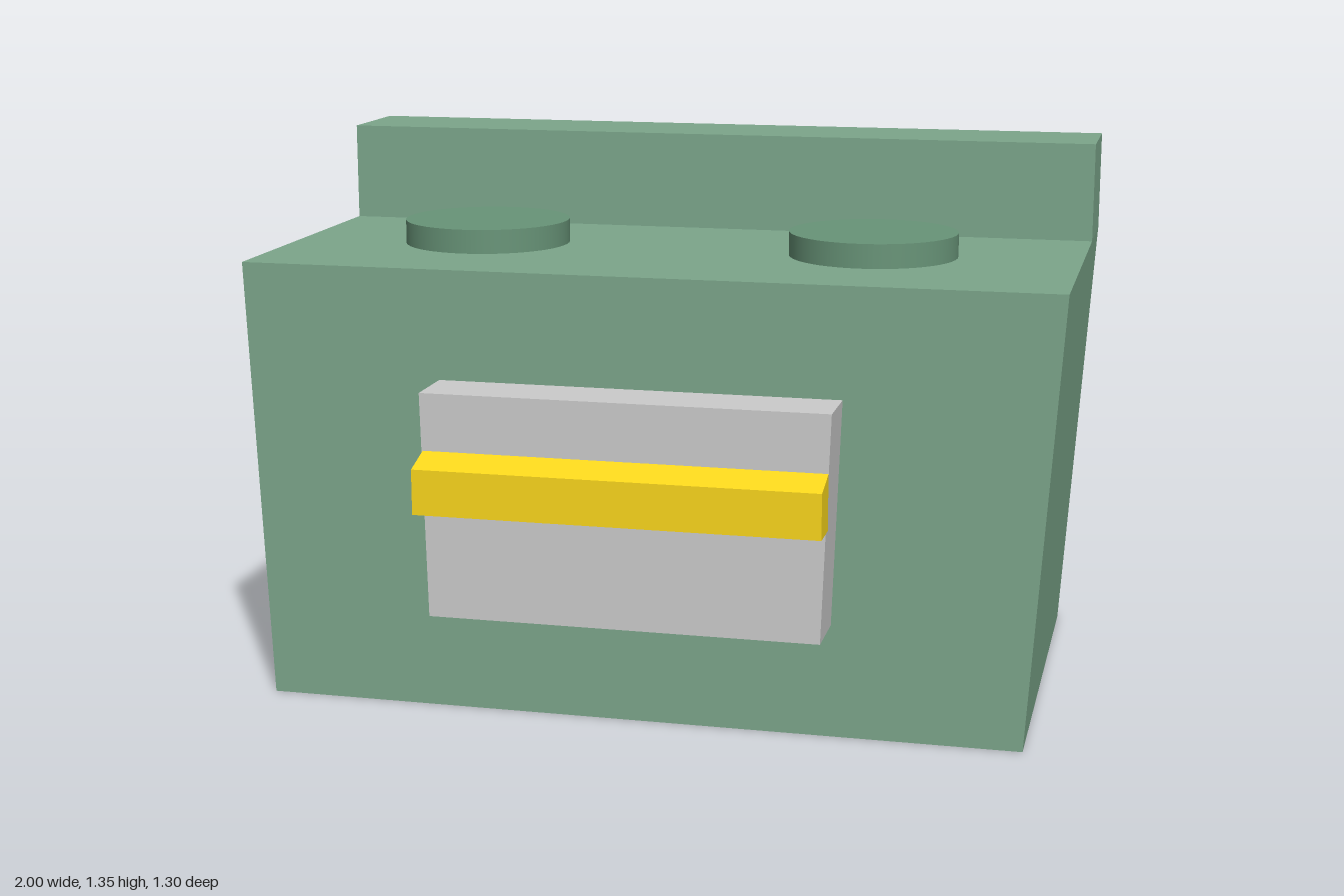
import * as THREE from 'three';

const material = (color) => new THREE.MeshStandardMaterial({ color, side: THREE.DoubleSide });

// Extrudes a front outline of [x, y] points between two depths
function slab(name, points, zBack, zFront, mat) {
  const shape = new THREE.Shape(points.map(([x, y]) => new THREE.Vector2(x, y)));
  const geometry = new THREE.ExtrudeGeometry(shape, { depth: zFront - zBack, bevelEnabled: false });
  geometry.translate(0, 0, zBack);
  const mesh = new THREE.Mesh(geometry, mat);
  mesh.name = name;
  return mesh;
}

export function createModel() {
  const group = new THREE.Group();
  group.name = 'stove';
  const green = material(0x7ca68b);
  const darkGreen = material(0x689478);
  const grey = material(0xcccccc);
  const yellow = material(0xfad71c);

  // Body narrows towards the floor, slightly more on one side
  group.add(slab('body', [[-0.955, 0], [0.93, 0], [1, 1.1], [-1, 1.1]], -0.65, 0.42, green));

  // Raised ledge along the back
  group.add(slab('backLedge', [[-1, 1.1], [1, 1.1], [1, 1.35], [-1, 1.35]], -0.65, -0.385, green));

  // Oven door
  group.add(slab('ovenDoor', [[-0.487, 0.28], [0.467, 0.28], [0.487, 0.83], [-0.5, 0.83]], 0.42, 0.57, grey));

  // Handle: a bar whose top slopes down towards the front
  const bar = new THREE.BoxGeometry(0.975, 0.135, 0.085);
  bar.translate(-0.006, 0.6225, 0.6125);
  const p = bar.attributes.position;
  for (let i = 0; i < p.count; i++) {
    if (p.getY(i) > 0.6 && p.getZ(i) > 0.6) p.setY(i, 0.665);
  }
  bar.computeVertexNormals();
  const handle = new THREE.Mesh(bar, yellow);
  handle.name = 'doorHandle';
  group.add(handle);

  // Burners
  for (const [name, x] of [['burnerRight', -0.515], ['burnerLeft', 0.485]]) {
    const burner = new THREE.Mesh(new THREE.CylinderGeometry(0.21, 0.21, 0.06, 48), darkGreen);
    burner.name = name;
    burner.position.set(x, 1.13, -0.035);
    group.add(burner);
  }
  return group;
}
